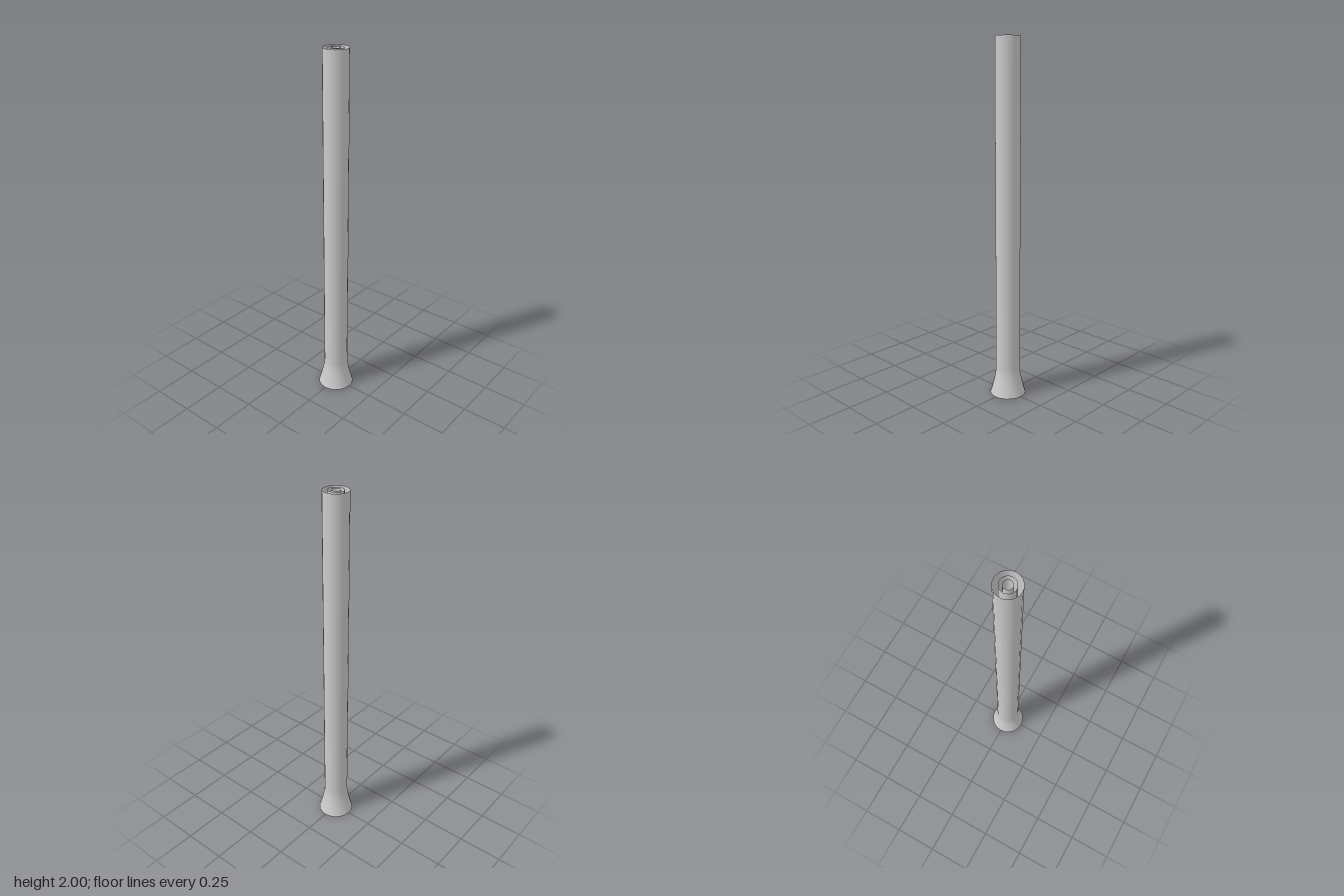
import * as THREE from 'three';

// Profile of the outer tube: concave flare at the foot, then a straight shaft
const PROFILE = [
  [0.102, 0], [0.093, 0.03], [0.085, 0.06], [0.077, 0.095],
  [0.071, 0.13], [0.0685, 0.16], [0.0685, 2],
];

// Open-ended flared tube, the profile narrowed by a factor
function flaredTube(name, scale, material) {
  const points = PROFILE.map(([r, y]) => new THREE.Vector2(r * scale, y));
  const mesh = new THREE.Mesh(new THREE.LatheGeometry(points, 20), material);
  mesh.name = name;
  return mesh;
}

export function createModel() {
  const model = new THREE.Group();
  model.name = 'nestedFlaredTubes';
  const material = new THREE.MeshStandardMaterial({ color: 0xcccccc, side: THREE.DoubleSide });

  // Three concentric tubes of equal height
  const tubes = { outerTube: 1, middleTube: 0.613, innerTube: 0.355 };
  for (const [name, scale] of Object.entries(tubes)) {
    model.add(flaredTube(name, scale, material));
  }
  return model;
}
